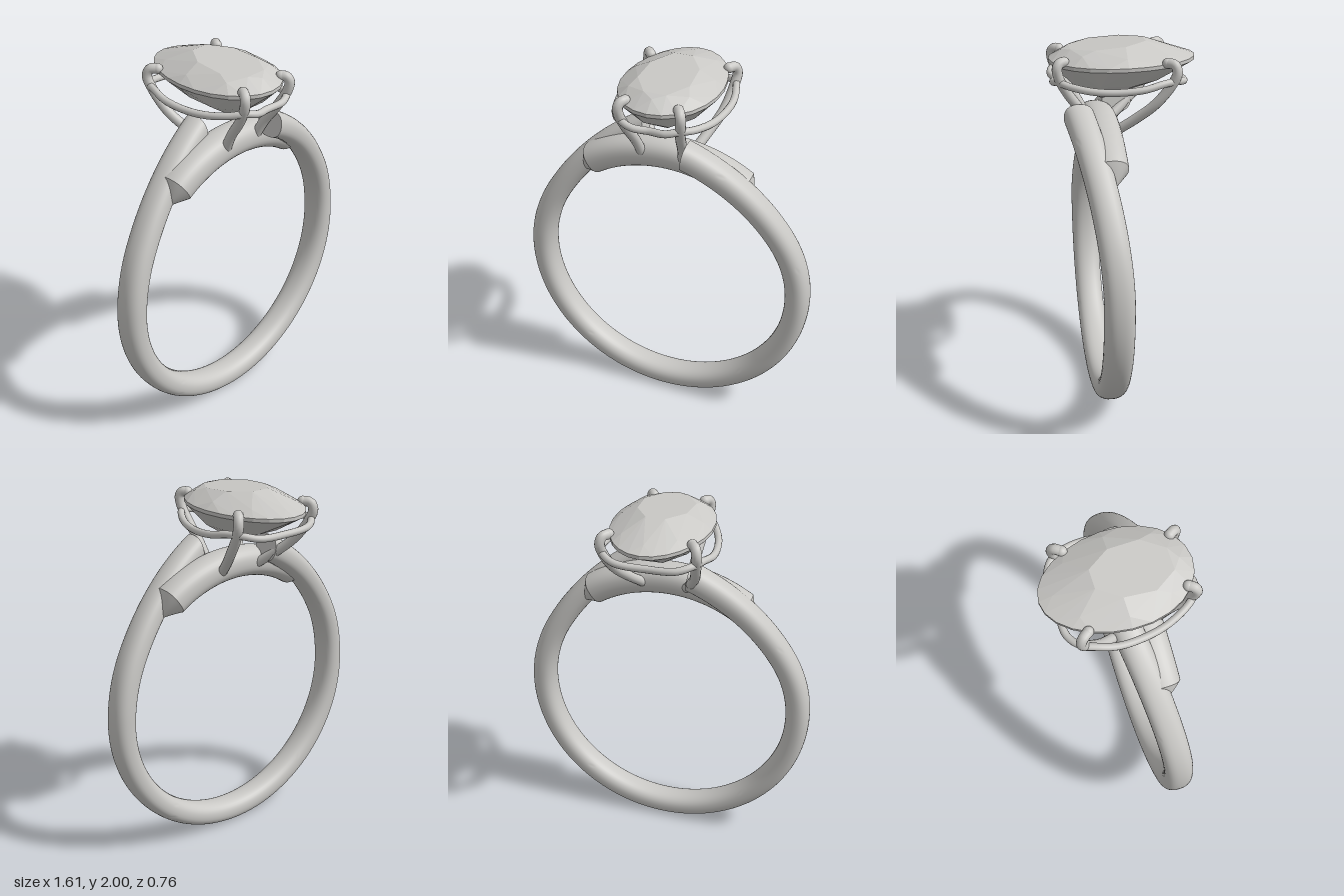
import * as THREE from 'three';
import { toCreasedNormals } from 'three/addons/utils/BufferGeometryUtils.js';
import { ConvexGeometry } from 'three/addons/geometries/ConvexGeometry.js';

const CENTER_Y = 0.805;
const rad = THREE.MathUtils.degToRad;
const v = (x, y, z) => new THREE.Vector3(x, y, z);

// Sweeps a rounded section round the finger; section(deg) gives radius r, depth z and half sizes a (radial), b (z)
function sweep(from, to, steps, section) {
  const sides = 32, pos = [], idx = [];
  const soft = (n) => Math.sign(n) * Math.abs(n) ** 0.85;
  const add = (deg, r, z) => pos.push(r * Math.sin(rad(deg)), CENTER_Y + r * Math.cos(rad(deg)), z);
  for (let i = 0; i <= steps; i++) {
    const deg = from + (to - from) * i / steps, s = section(deg);
    for (let j = 0; j < sides; j++) {
      const t = j / sides * Math.PI * 2;
      add(deg, s.r + s.a * soft(Math.cos(t)), s.z + s.b * soft(Math.sin(t)));
    }
  }
  for (let i = 0; i < steps; i++) for (let j = 0; j < sides; j++) {
    const p = i * sides + j, q = i * sides + (j + 1) % sides;
    idx.push(p, q, p + sides, q, q + sides, p + sides);
  }
  // End caps
  const c = (steps + 1) * sides, last = steps * sides;
  for (const deg of [from, to]) add(deg, section(deg).r, section(deg).z);
  for (let j = 0; j < sides; j++) {
    const k = (j + 1) % sides;
    idx.push(c, k, j, c + 1, last + j, last + k);
  }
  const g = new THREE.BufferGeometry();
  g.setAttribute('position', new THREE.Float32BufferAttribute(pos, 3));
  g.setIndex(idx);
  return toCreasedNormals(g, 0.6);
}

// Band: its two ends rise and pass each other, one to the front and one to the back
function bandSection(deg) {
  const p = deg > 180 ? 360 - deg : deg;
  const lift = Math.max(0, (60 - p) / 50) ** 2;
  const part = Math.max(0, (85 - p) / 75) ** 1.6;
  return {
    r: 0.74 + 0.108 * lift,
    z: 0.115 + (deg > 180 ? -0.113 : 0.122) * part,
    a: 0.065 + 0.008 * lift,
    b: 0.078,
  };
}

// Bridge: a thick arc with pointed ends
function bridgeSection(deg) {
  const k = Math.min(1, Math.max(0.03, (41 - Math.abs(deg)) / 8));
  return { r: 0.725 + 0.03 * k, z: 0.11, a: 0.0825 * k, b: 0.09 * k };
}

// Oval faceted stone
function stoneGeometry() {
  const pts = [];
  const ring = (n, shift, scale, y, cz = 0) => {
    for (let i = 0; i < n; i++) {
      const t = (i + shift) / n * Math.PI * 2, c = Math.cos(t);
      const x = 0.26 * Math.sin(t) * (1 + 0.08 * c) * scale;
      const z = (-0.004 + 0.38 * c) * scale + cz;
      pts.push(v(x, y(z, c), z));
    }
  };
  ring(8, 0.5, 0.55, (z) => 1.99 - 0.073 * z, 0.075);   // table
  ring(8, 0, 0.82, (z, c) => 1.95 + 0.01 * c);          // crown
  ring(24, 0, 1, () => 1.914);                          // girdle
  ring(24, 0, 1, () => 1.895);
  ring(8, 0.5, 0.62, () => 1.79, 0.04);                 // pavilion
  pts.push(v(0, 1.69, 0.1));                            // lowest point
  return new ConvexGeometry(pts);
}

export function createModel() {
  const model = new THREE.Group();
  model.name = 'ring';
  const metal = new THREE.MeshStandardMaterial({ name: 'metal grey', color: 0xc9c8c5 });
  const gem = new THREE.MeshStandardMaterial({ name: 'stone grey', color: 0xc9c8c5 });

  const add = (name, geometry, material = metal, parent = model) => {
    const mesh = new THREE.Mesh(geometry, material);
    mesh.name = name;
    parent.add(mesh);
    return mesh;
  };

  add('band', sweep(10, 350, 170, bandSection));
  add('bridge', sweep(-41, 41, 82, bridgeSection));
  add('stone', stoneGeometry(), gem);

  // Prongs, mirrored left and right, each with a rounded claw tip
  const prongs = {
    front: [[0.11, 1.56, 0.17], [0.125, 1.66, 0.22], [0.143, 1.77, 0.295], [0.16, 1.86, 0.34],
      [0.162, 1.905, 0.345], [0.152, 1.927, 0.33], [0.138, 1.928, 0.308]],
    back: [[0.12, 1.55, 0.04], [0.17, 1.63, -0.06], [0.213, 1.71, -0.145], [0.238, 1.81, -0.22],
      [0.248, 1.88, -0.25], [0.238, 1.918, -0.238], [0.214, 1.922, -0.205]],
  };
  for (const [place, points] of Object.entries(prongs)) {
    for (const side of [1, -1]) {
      const group = new THREE.Group();
      group.name = `${place}${side > 0 ? 'Left' : 'Right'}Prong`;
      const path = points.map(([x, y, z]) => v(x * side, y, z));
      add('prongWire', new THREE.TubeGeometry(new THREE.CatmullRomCurve3(path), 48, 0.026, 14), metal, group);
      add('prongTip', new THREE.SphereGeometry(0.027, 16, 12), metal, group).position.copy(path[path.length - 1]);
      model.add(group);
    }
  }

  // Gallery wire: a wavy closed loop below the stone
  const half = [[0.09, 1.815, 0.36], [0.155, 1.828, 0.335], [0.2, 1.815, 0.28], [0.25, 1.8, 0.17],
    [0.277, 1.798, 0.05], [0.285, 1.81, -0.08], [0.265, 1.83, -0.18], [0.235, 1.832, -0.25],
    [0.16, 1.815, -0.3]];
  const loop = [[0, 1.805, 0.345], ...half, [0, 1.805, -0.3],
    ...half.slice().reverse().map(([x, y, z]) => [-x, y, z])].map((p) => v(...p));
  add('galleryWire', new THREE.TubeGeometry(new THREE.CatmullRomCurve3(loop, true), 160, 0.019, 12, true));

  return model;
}
